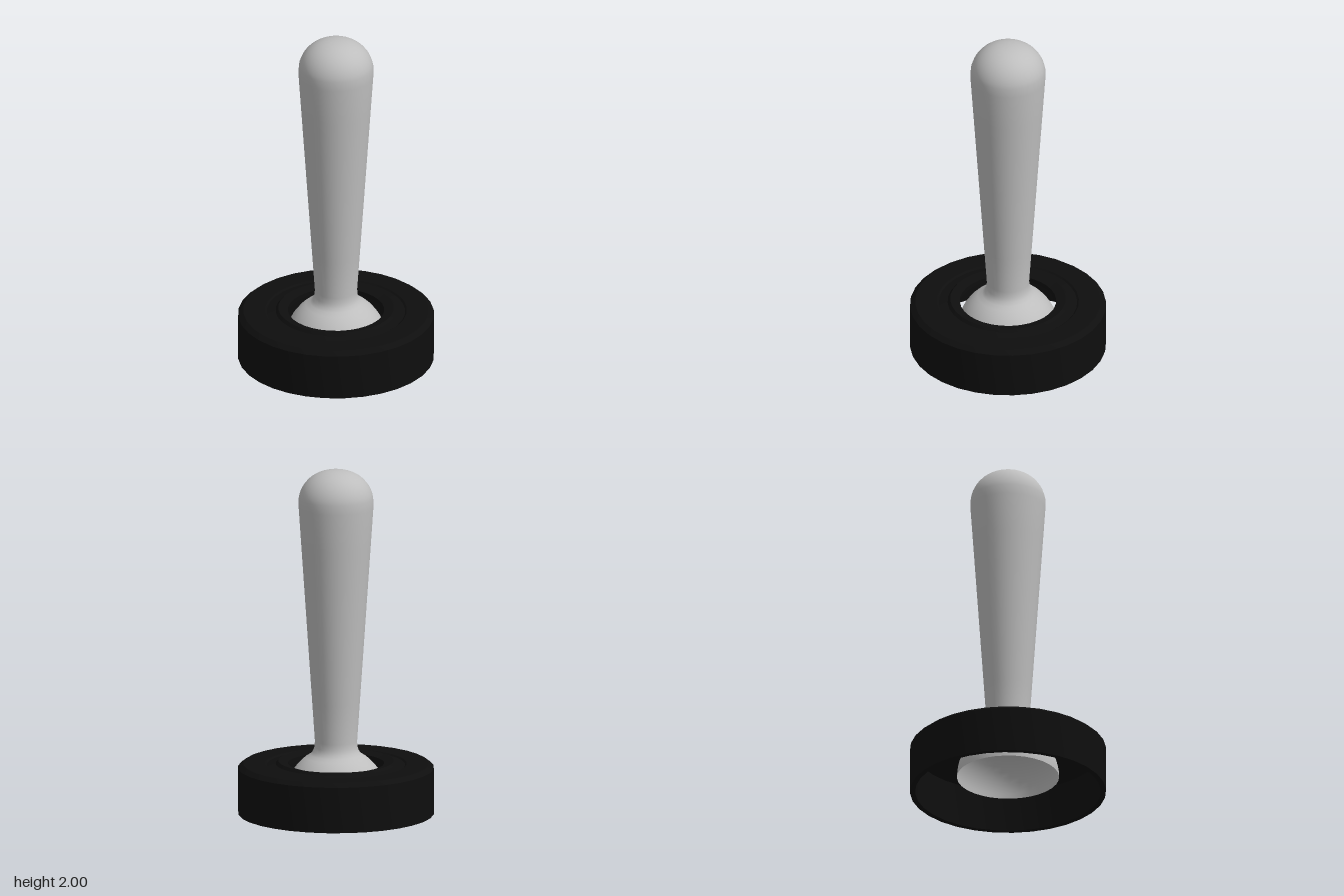
import * as THREE from 'three';
import { toCreasedNormals } from 'three/addons/utils/BufferGeometryUtils.js';

const SEGMENTS = 32;

// Spins a list of [radius, height] pairs round the y axis
function spin(profile, crease) {
  const points = profile.map(([r, y]) => new THREE.Vector2(r, y));
  return toCreasedNormals(new THREE.LatheGeometry(points, SEGMENTS), crease);
}

export function createModel() {
  const gray = new THREE.MeshStandardMaterial({ color: 0xbebebe, side: THREE.DoubleSide });
  gray.name = 'light gray';
  const black = new THREE.MeshStandardMaterial({ color: 0x0e0e0e });
  black.name = 'black';

  const model = new THREE.Group();
  model.name = 'joystick';
  const add = (name, geometry, material) => {
    const mesh = new THREE.Mesh(geometry, material);
    mesh.name = name;
    model.add(mesh);
  };

  // Hollow collar: bevelled wall, shallow groove, raised lip and round opening
  add('baseCollar', spin([
    [0.56, 0], [0.56, 0.265], [0.53, 0.288], [0.405, 0.288], [0.395, 0.28],
    [0.345, 0.288], [0.33, 0.304], [0.275, 0.29], [0.275, 0.265],
    [0.53, 0.25], [0.53, 0], [0.56, 0],
  ], 0.4), black);

  // Hollow half-ball pivot flowing through a fillet into the tapered grip
  const profile = [];
  const ballRadius = 0.292, ballHeight = 0.09;
  for (let i = 0; i <= 10; i++) {
    const a = (i / 10) * 1.04;
    profile.push([ballRadius * Math.cos(a), ballHeight + ballRadius * Math.sin(a)]);
  }
  profile.push([0.132, 0.36], [0.123, 0.385], [0.121, 0.42]);
  for (let i = 1; i <= 6; i++) {
    const t = i / 6;
    profile.push([0.121 + 0.093 * t, 0.42 + 1.36 * t]);
  }
  // Rounded grip top
  for (let i = 1; i <= 12; i++) {
    const a = (i / 12) * Math.PI / 2;
    profile.push([
      i === 12 ? 0 : 0.215 * Math.pow(Math.cos(a), 0.9),
      1.81 + 0.19 * Math.sin(a),
    ]);
  }
  add('stickAndPivot', spin(profile, 0.9), gray);

  return model;
}
